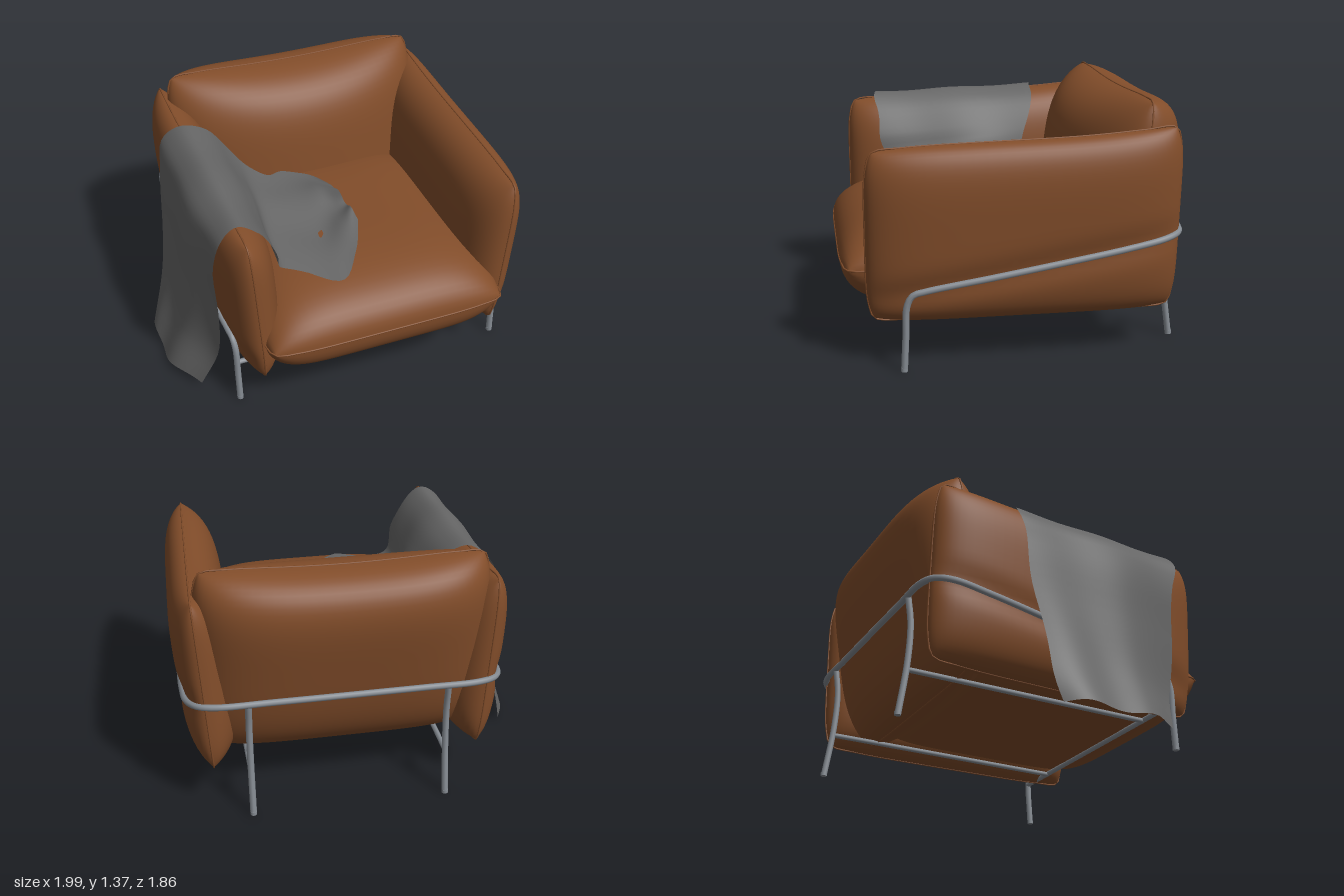
import * as THREE from 'three';

const CX = 0.1; // the chair sits right of centre because the throw spills out to the other side

const leather = new THREE.MeshStandardMaterial({ color: 0x824d2a });
const metal = new THREE.MeshStandardMaterial({ color: 0x868c93 });
const wool = new THREE.MeshStandardMaterial({ color: 0x666666, side: THREE.DoubleSide });
leather.name = 'brown leather';
metal.name = 'grey metal';
wool.name = 'grey wool';

// Smooth grid surface from place(s, t), both 0..1
function sheet(nu, nv, place, flip) {
  const pos = [], idx = [];
  for (let j = 0; j <= nv; j++)
    for (let i = 0; i <= nu; i++) pos.push(...place(i / nu, j / nv));
  for (let j = 0; j < nv; j++)
    for (let i = 0; i < nu; i++) {
      const a = j * (nu + 1) + i, b = a + 1, c = a + nu + 1, d = c + 1;
      if (flip) idx.push(a, c, b, b, c, d);
      else idx.push(a, b, c, b, d, c);
    }
  const geo = new THREE.BufferGeometry();
  geo.setAttribute('position', new THREE.Float32BufferAttribute(pos, 3));
  geo.setIndex(idx);
  geo.computeVertexNormals();
  return geo;
}

const spline = (points, closed = false) =>
  new THREE.CatmullRomCurve3(points.map(p => new THREE.Vector3(...p)), closed);

function tube(name, points, radius, material, closed = false, steps = 80) {
  const mesh = new THREE.Mesh(new THREE.TubeGeometry(spline(points, closed), steps, radius, 8, closed), material);
  mesh.name = name;
  return mesh;
}

// Cushion of two bulging halves that meet in a piped seam.
// place(u, v, h): u, v in -1..1 over the panel, h is the signed bulge -1..1.
function cushion(name, place, bulge, corner, mirrored) {
  const group = new THREE.Group();
  group.name = name;
  const ease = s => Math.sin((s - 0.5) * Math.PI);
  const at = (u, v, h) => place(u * (1 - corner * v ** 6), v * (1 - corner * u ** 6), h);
  for (const side of [1, -1]) {
    const geo = sheet(36, 36, (s, t) => {
      const u = ease(s), v = ease(t);
      return at(u, v, side * bulge(u, v, side));
    }, (side < 0) !== mirrored);
    const half = new THREE.Mesh(geo, leather);
    half.name = name + (side > 0 ? 'FrontPanel' : 'BackPanel');
    group.add(half);
  }
  const seam = [];
  for (let k = 0; k < 4; k++)
    for (let i = 0; i < 10; i++) {
      const s = -1 + i / 5;
      const [u, v] = [[s, -1], [1, s], [-s, 1], [-1, -s]][k];
      seam.push(at(u, v, 0));
    }
  group.add(tube(name + 'Piping', seam, 0.005, leather, true, 120));
  return group;
}

const puff = (pu, pv, e) => (u, v) =>
  Math.max(0, (1 - Math.abs(u) ** pu) * (1 - Math.abs(v) ** pv)) ** e;

function armCushion(name, side) {
  return cushion(name, (u, v, h) => {
    const z = -0.02 + 0.82 * v, t = (u + 1) / 2;
    const top = 1.195 - 0.02 * v + 0.055 * Math.max(0, -v) ** 3, bottom = 0.24;
    const y = bottom + (top - bottom) * t;
    const seam = 0.7 + 0.07 * t - 0.02 * v;
    // the outer face is pressed in along the rail
    const dent = 0.025 * Math.exp(-(((y - 0.525 + 0.18 * z) / 0.08) ** 2));
    return [CX + side * (seam + h * (h > 0 ? 0.138 - dent : 0.19)), y, z];
  }, puff(4, 5, 0.5), 0.05, side < 0);
}

function backCushion() {
  const soft = puff(2, 4, 0.5), full = puff(4, 4, 0.5);
  return cushion('backCushion', (u, v, h) => {
    const t = (v + 1) / 2;
    const top = 1.345 + 0.045 * u * u, bottom = 0.26;
    const depth = h > 0 ? 0.32 : 0.25 * (0.78 + 0.42 * t);
    return [CX + 0.78 * u, bottom + (top - bottom) * t, -0.57 - 0.12 * t + h * depth];
  }, (u, v, side) => side > 0 ? soft(u, v) : full(u, v), 0.06, false);
}

function seatCushion() {
  const upper = puff(4, 4, 0.5), lower = puff(6, 6, 0.5);
  return cushion('seatCushion', (u, v, h) =>
    [CX + 0.7 * v, 0.52 + h * (h > 0 ? 0.26 : 0.255), 0.14 + 0.785 * u],
  (u, v, side) => side > 0 ? upper(u, v) : lower(u, v), 0.05, false);
}

function frame() {
  const group = new THREE.Group();
  group.name = 'metalFrame';
  const R = 0.018;
  // One continuous tube: front leg, sloping side rail, back rail and the mirror of it
  const half = [
    [0.79, 0, 0.62], [0.793, 0.18, 0.61], [0.797, 0.36, 0.6], [0.802, 0.415, 0.57], [0.81, 0.435, 0.51],
    [0.838, 0.5, 0.15], [0.85, 0.56, -0.2], [0.852, 0.62, -0.55], [0.836, 0.655, -0.74],
    [0.785, 0.67, -0.825], [0.69, 0.675, -0.862], [0.4, 0.675, -0.865]];
  const path = [
    ...half.map(([x, y, z]) => [CX + x, y, z]),
    ...half.slice().reverse().map(([x, y, z]) => [CX - x, y, z])];
  group.add(tube('legAndRail', path, R, metal, false, 200));
  group.add(tube('frontCrossbar', [[CX - 0.8, 0.262, 0.605], [CX + 0.8, 0.262, 0.605]], 0.015, metal, false, 2));
  for (const side of [-1, 1]) {
    const x = CX + side * 0.53;
    group.add(tube('backLeg', [[x, 0, -0.89], [x, 0.3, -0.85], [x, 0.52, -0.842], [x, 0.67, -0.862]], R, metal, false, 20));
    group.add(tube('sideBar', [[x, 0.257, 0.605], [x, 0.257, -0.85]], 0.015, metal, false, 2));
    for (const [fx, fz] of [[CX + side * 0.79, 0.62], [x, -0.89]]) {
      const foot = new THREE.Mesh(new THREE.CylinderGeometry(R, R, 0.02, 12), metal);
      foot.name = 'footCap';
      foot.position.set(fx, 0.01, fz);
      group.add(foot);
    }
  }
  return group;
}

// Throw draped over the arm, stretched between its back and front edges.
// Both edges run from the outer hem, over the arm, down to the seat.
function throwBlanket() {
  const backEdge = spline([
    [-0.93, 0.01, -0.24], [-0.87, 0.28, -0.28], [-0.825, 0.62, -0.33], [-0.805, 0.95, -0.37],
    [-0.78, 1.13, -0.39], [-0.67, 1.225, -0.36], [-0.54, 1.18, -0.33], [-0.42, 1.04, -0.3],
    [-0.33, 0.94, -0.23], [-0.22, 0.87, -0.22], [-0.1, 0.82, -0.28], [0.02, 0.81, -0.24], [0.11, 0.84, -0.02]]);
  const frontEdge = spline([
    [-0.87, 0.03, 0.46], [-0.78, 0.28, 0.54], [-0.77, 0.62, 0.57], [-0.785, 0.95, 0.6],
    [-0.755, 1.12, 0.63], [-0.65, 1.2, 0.63], [-0.55, 1.13, 0.63], [-0.46, 0.97, 0.62],
    [-0.42, 0.82, 0.57], [-0.27, 0.765, 0.6], [-0.1, 0.745, 0.71], [0.04, 0.785, 0.52], [0.14, 0.815, 0.32]]);
  const geo = sheet(60, 36, (s, t) => {
    const p = backEdge.getPoint(s).lerp(frontEdge.getPoint(s), t);
    const d = backEdge.getTangent(s).lerp(frontEdge.getTangent(s), t).normalize();
    const hang = Math.max(0, 1 - s / 0.36);       // 1 at the outer hem
    const lie = Math.max(0, (s - 0.62) / 0.38);   // 1 at the inner hem
    const fold = (0.004 + 0.012 * hang + 0.006 * lie) * (1 + Math.sin(t * 11 + s * 5));
    const arc = Math.sin(t * Math.PI);
    const belly = 0.09 * hang * arc;
    const ripple = 0.01 * Math.sin(s * 40 + t * 2) * (2 * t - 1);
    const lift = 0.03 * lie * arc * Math.sin(t * 6) ** 2 + 0.012 * hang * Math.sin(t * 9);
    return [p.x - d.y * fold - belly, Math.max(0.004, p.y + d.x * fold + lift), p.z + ripple];
  }, true);
  const mesh = new THREE.Mesh(geo, wool);
  mesh.name = 'throwBlanket';
  return mesh;
}

export function createModel() {
  const model = new THREE.Group();
  model.name = 'armchair';
  model.add(
    seatCushion(), backCushion(),
    armCushion('leftArm', 1), armCushion('rightArm', -1),
    frame(), throwBlanket());
  return model;
}
